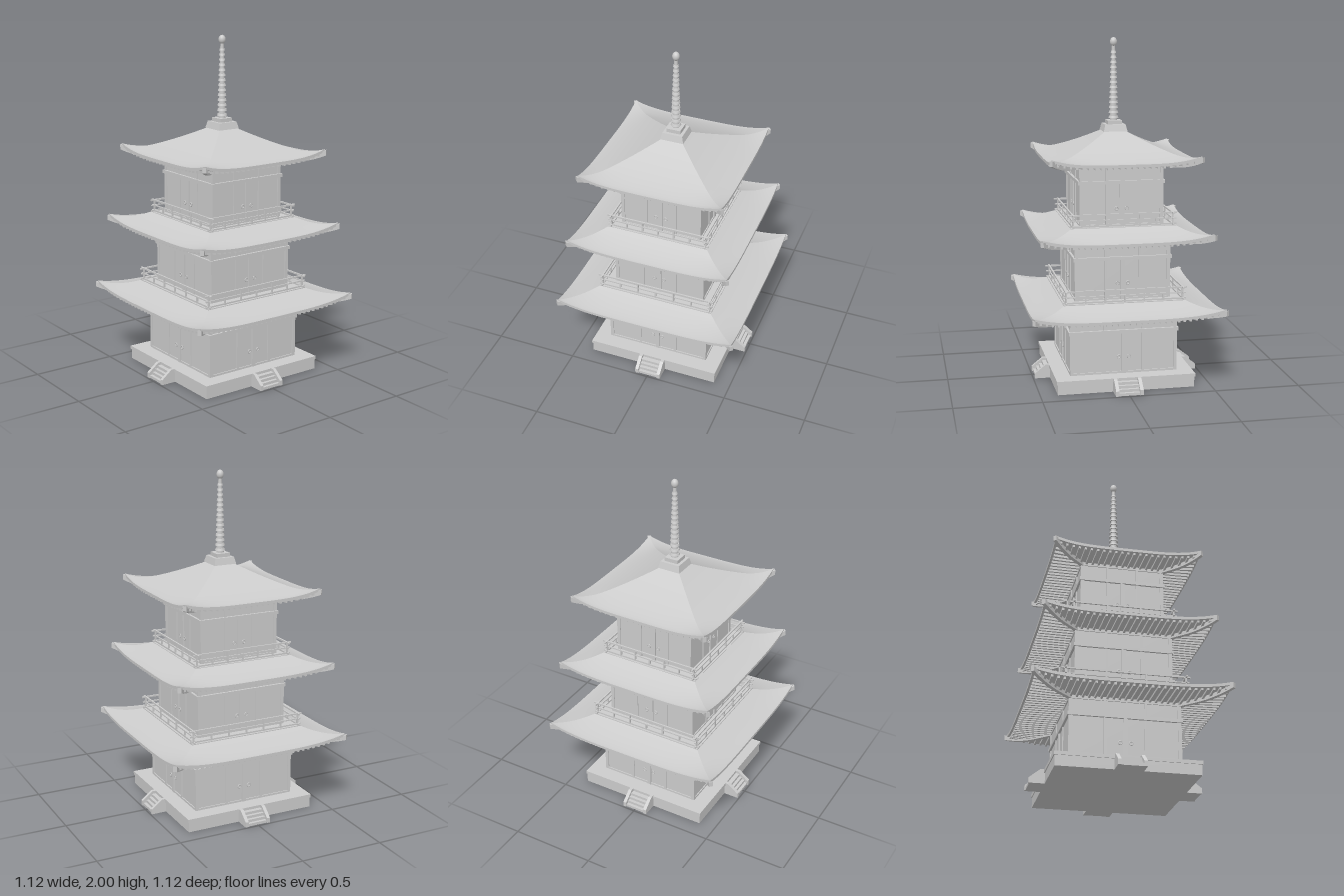
import * as THREE from 'three';
import { mergeGeometries } from 'three/addons/utils/BufferGeometryUtils.js';
import { ParametricGeometry } from 'three/addons/geometries/ParametricGeometry.js';

const material = new THREE.MeshStandardMaterial({ color: 0xcccccc });

function add(parent, name, geometry) {
  const mesh = new THREE.Mesh(geometry, material);
  mesh.name = name;
  parent.add(mesh);
  return mesh;
}

const box = (w, h, d, x, y, z) => new THREE.BoxGeometry(w, h, d).translate(x, y, z);

// Repeats a part designed for the +z face on all four faces
function onFourSides(parent, name, geometry) {
  const group = new THREE.Group();
  group.name = name + 's';
  for (let i = 0; i < 4; i++) add(group, name, geometry).rotation.y = i * Math.PI / 2;
  parent.add(group);
}

// Moves a straight bar so that it follows a height rule
function bend(geometry, rule) {
  const p = geometry.attributes.position;
  for (let i = 0; i < p.count; i++) p.setY(i, p.getY(i) + rule(p.getX(i), p.getZ(i)));
  geometry.computeVertexNormals();
  return geometry;
}

const tiers = [
  { floor: 0.08, wall: 0.315, eave: 0.545, eaveY: 0.455, inner: 0.35, innerY: 0.51, deck: 0.36 },
  { floor: 0.51, wall: 0.28, eave: 0.487, eaveY: 0.88, inner: 0.305, innerY: 0.94, deck: 0.31 },
  { floor: 0.94, wall: 0.245, eave: 0.425, eaveY: 1.315, inner: 0.055, innerY: 1.465 }
];

function addPlatform(root) {
  add(root, 'platform', mergeGeometries([box(0.8, 0.06, 0.8, 0, 0.03, 0), box(0.81, 0.02, 0.81, 0, 0.07, 0)]));
  const parts = [];
  for (let i = 0; i < 4; i++) {
    const depth = 0.085 - i * 0.018;
    parts.push(box(0.12, 0.016, depth, 0, 0.008 + i * 0.016, 0.4 + depth / 2));
  }
  const cheek = new THREE.Shape([[0.4, 0], [0.49, 0], [0.49, 0.03], [0.425, 0.081], [0.4, 0.081]]
    .map(([x, y]) => new THREE.Vector2(x, y)));
  for (const x of [-0.06, 0.08]) {
    parts.push(new THREE.ExtrudeGeometry(cheek, { depth: 0.02, bevelEnabled: false })
      .rotateY(-Math.PI / 2).translate(x, 0, 0));
  }
  onFourSides(root, 'staircase', mergeGeometries(parts.map(g => g.index ? g.toNonIndexed() : g)));
}

function addStorey(root, t) {
  const { floor, wall: w } = t;
  const top = t.eaveY, beamY = top - 0.125, height = top - floor;
  add(root, 'walls', box(2 * w - 0.012, height, 2 * w - 0.012, 0, floor + height / 2, 0));

  // Posts, beams and the stile between the doors
  const frame = [
    box(2 * w + 0.015, 0.02, 0.014, 0, beamY, w),
    box(2 * w, 0.012, 0.012, 0, floor + 0.006, w - 0.006),
    box(2 * w, 0.016, 0.012, 0, top - 0.03, w - 0.006),
    box(0.024, beamY - floor, 0.014, 0, (floor + beamY) / 2, w - 0.004)
  ];
  for (const s of [-1, 1]) {
    frame.push(box(0.02, height, 0.016, s * (w - 0.01), floor + height / 2, w - 0.008));
    frame.push(box(0.014, height, 0.01, s * w * 0.36, floor + height / 2, w - 0.005));
  }
  onFourSides(root, 'wallFrame', mergeGeometries(frame));

  const rings = [-0.03, 0.03].map(x => new THREE.TorusGeometry(0.01, 0.003, 6, 12).translate(x, floor + 0.1, w));
  onFourSides(root, 'doorRingPair', mergeGeometries(rings));
}

function addRoof(root, t) {
  const { eave: H, wall: w, inner, eaveY, innerY } = t;
  const lift = (x, h) => 0.037 * Math.min(1, Math.abs(x / h)) ** 4 * Math.max(0, (h / H - 0.7) / 0.3) ** 2;
  const tile = (x, h) => eaveY + (innerY - eaveY) * Math.max(0, (H - h) / (H - inner)) ** 1.4 + lift(x, h);
  const soffit = (x, h) => eaveY - 0.016 + lift(x, h);
  const sheet = (from, to, rule) => new ParametricGeometry((u, v, p) => {
    const h = from + (to - from) * v, x = (2 * u - 1) * h;
    p.set(x, rule(x, h), h);
  }, 32, 16);

  onFourSides(root, 'roofSlope', sheet(H, inner, tile));
  onFourSides(root, 'soffit', sheet(w - 0.01, H, soffit));
  onFourSides(root, 'eaveEdge', new ParametricGeometry((u, v, p) => {
    const x = (2 * u - 1) * H;
    p.set(x, soffit(x, H) * (1 - v) + tile(x, H) * v, H);
  }, 32, 1));

  // Parallel rafters, cut off at the hips
  const rafters = [], count = Math.round(H / 0.034);
  for (let i = -count + 1; i < count; i++) {
    const x = i * H / count, start = Math.max(w - 0.01, Math.abs(x)), length = H - 0.012 - start;
    if (length < 0.01) continue;
    const bar = new THREE.BoxGeometry(0.012, 0.014, length, 1, 1, 6).translate(x, -0.006, start + length / 2);
    rafters.push(bend(bar, (px, pz) => soffit(x, pz)).toNonIndexed());
  }
  const rafterRow = mergeGeometries(rafters);
  rafterRow.computeVertexNormals();
  onFourSides(root, 'rafterRow', rafterRow);

  // Diagonal beam under each hip
  const a = (w - 0.01) * Math.SQRT2, b = (H + 0.006) * Math.SQRT2;
  const hip = new THREE.BoxGeometry(0.022, 0.03, b - a, 1, 1, 10).translate(0, -0.008, (a + b) / 2);
  bend(hip, (x, z) => soffit(z / Math.SQRT2, z / Math.SQRT2));
  onFourSides(root, 'hipBeam', hip.rotateY(Math.PI / 4));
}

function addBalcony(root, t) {
  const d = t.deck, y = t.innerY - 0.005, post = d - 0.02;
  add(root, 'balconyFloor', box(2 * d - 0.01, 0.016, 2 * d - 0.01, 0, y, 0));
  const rail = [
    box(2 * d + 0.01, 0.009, 0.009, 0, y + 0.078, post),
    box(2 * d, 0.007, 0.007, 0, y + 0.046, post),
    box(2 * d, 0.009, 0.009, 0, y + 0.014, post)
  ];
  for (let i = 0; i < 7; i++) {
    const h = i % 2 ? 0.046 : 0.078;
    rail.push(box(0.009, h, 0.009, post * (i / 3 - 1), y + h / 2, post));
  }
  onFourSides(root, 'railing', mergeGeometries(rail));
}

function addFinial(root) {
  const base = new THREE.CylinderGeometry(0.06 * Math.SQRT2, 0.07 * Math.SQRT2, 0.04, 4).toNonIndexed();
  base.computeVertexNormals();
  add(root, 'finialBase', base.rotateY(Math.PI / 4).translate(0, 1.48, 0));
  add(root, 'finialBlock', box(0.084, 0.022, 0.084, 0, 1.511, 0));
  add(root, 'spire', new THREE.CylinderGeometry(0.01, 0.022, 0.44, 16).translate(0, 1.735, 0));
  for (let i = 0; i < 14; i++) {
    const r = 0.03 - i * 0.001;
    add(root, 'spireRing', new THREE.CylinderGeometry(r - 0.004, r, 0.012, 16).translate(0, 1.54 + i * 0.029, 0));
  }
  add(root, 'spireBall', new THREE.SphereGeometry(0.021, 16, 12).scale(1, 1.25, 1).translate(0, 1.974, 0));
}

export function createModel() {
  const root = new THREE.Group();
  root.name = 'pagoda';
  addPlatform(root);
  tiers.forEach((t, i) => {
    const storey = new THREE.Group();
    storey.name = 'storey' + (i + 1);
    addStorey(storey, t);
    addRoof(storey, t);
    if (t.deck) addBalcony(storey, t);
    root.add(storey);
  });
  addFinial(root);
  return root;
}
